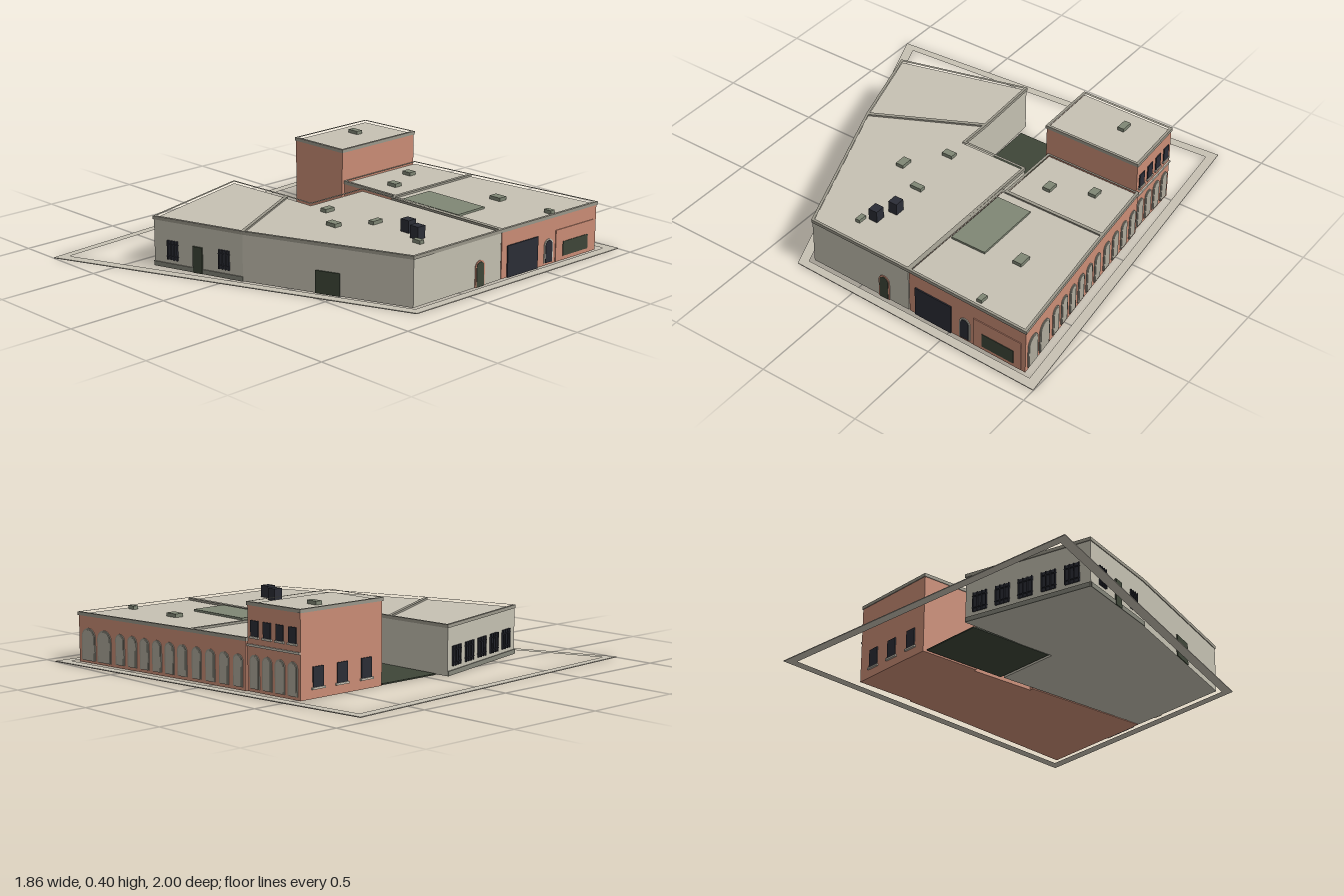
import * as THREE from 'three';

const mat = (name, color, extra = {}) => {
  const m = new THREE.MeshStandardMaterial({ color, ...extra });
  m.name = name;
  return m;
};

export function createModel() {
  const root = new THREE.Group();
  root.name = 'buildingBlock';

  const M = {
    stone: mat('paleWall', 0xc4c0b1),
    brick: mat('redWall', 0xcb8d76),
    roof: mat('roofBeige', 0xc7c1b3),
    cap: mat('parapetGrey', 0x9b988b),
    plinth: mat('plinthGrey', 0x85867a),
    infill: mat('archInfill', 0xaeaa9c),
    green: mat('darkGreen', 0x3e4638),
    glass: mat('skylightGreen', 0x808775),
    navy: mat('darkNavy', 0x2b2d36),
  };

  const add = (parent, name, geo, material) => {
    const mesh = new THREE.Mesh(geo, material);
    mesh.name = name;
    parent.add(mesh);
    return mesh;
  };

  // Plan helpers: points are [x, z]
  const toVec = (pts) => pts.map(([x, z]) => new THREE.Vector2(x, -z));
  const slab = (pts, y0, y1, hole) => {
    const s = new THREE.Shape(toVec(pts));
    if (hole) s.holes.push(new THREE.Path(toVec(hole)));
    const g = new THREE.ExtrudeGeometry(s, { depth: y1 - y0, bevelEnabled: false });
    return g.rotateX(-Math.PI / 2).translate(0, y0, 0);
  };
  // Mitred offset, positive d grows the outline
  const offset = (pts, d) => {
    const n = pts.length;
    const sign = Math.sign(THREE.ShapeUtils.area(pts.map(([x, z]) => new THREE.Vector2(x, z))));
    const normal = (a, b) => {
      const l = Math.hypot(b[0] - a[0], b[1] - a[1]);
      return [(sign * (b[1] - a[1])) / l, (-sign * (b[0] - a[0])) / l];
    };
    return pts.map((p, i) => {
      const u = normal(pts[(i + n - 1) % n], p);
      const v = normal(p, pts[(i + 1) % n]);
      const k = d / (1 + u[0] * v[0] + u[1] * v[1]);
      return [p[0] + (u[0] + v[0]) * k, p[1] + (u[1] + v[1]) * k];
    });
  };

  // Walls, roof deck and raised parapet for each volume
  const building = (name, pts, h, wall) => {
    const g = new THREE.Group();
    g.name = name;
    root.add(g);
    add(g, name + 'Walls', slab(pts, 0, h - 0.016), wall);
    add(g, name + 'Roof', slab(offset(pts, -0.005), h - 0.017, h - 0.011), M.roof);
    add(g, name + 'Parapet', slab(offset(pts, 0.004), h - 0.016, h, offset(pts, -0.009)), M.cap);
  };
  building('tower', [[-0.52, -0.76], [-0.2, -0.78], [-0.2, -0.285], [-0.52, -0.28]], 0.395, M.brick);
  building('middleHall', [[-0.2, -0.79], [0.145, -0.825], [0.145, -0.3], [-0.2, -0.3]], 0.237, M.brick);
  building('cornerHall', [[0.145, -0.825], [0.86, -0.91], [0.835, -0.275], [0.145, -0.28]], 0.237, M.brick);
  building('mainHall', [[-0.045, -0.27], [0.835, -0.27], [0.82, 0.28], [0.05, 0.58], [-0.21, 0.07], [-0.045, 0.07]], 0.237, M.stone);
  building('frontWing', [[-0.57, 0.085], [-0.21, 0.07], [0.05, 0.58], [-0.4, 0.72]], 0.237, M.stone);

  // Courtyard and pavement ring
  add(root, 'courtyard', slab([[-0.51, -0.265], [-0.06, -0.275], [-0.06, 0.065], [-0.51, 0.07]], 0, 0.006), M.green);
  add(root, 'pavementRing', slab(
    [[-0.93, -0.8], [0.93, -1], [0.885, 0.325], [-0.8, 1]], 0, 0.004,
    [[-0.88, -0.76], [0.88, -0.947], [0.845, 0.292], [-0.765, 0.935]]), M.roof);

  // A wall frame: local x runs from p to q, local z points outwards
  const wallFrame = (name, p, q) => {
    const g = new THREE.Group();
    g.name = name;
    g.position.set(p[0], 0, p[1]);
    g.rotation.y = Math.atan2(p[1] - q[1], q[0] - p[0]);
    g.userData.length = Math.hypot(q[0] - p[0], q[1] - p[1]);
    root.add(g);
    return g;
  };
  const panel = (g, name, t, w, y0, y1, depth, m) => {
    const b = add(g, name, new THREE.BoxGeometry(w, y1 - y0, depth), m);
    b.position.set(t, (y0 + y1) / 2, depth / 2);
  };
  const arch = (g, name, t, w, y0, y1, depth, m) => {
    const r = w / 2;
    const s = new THREE.Shape();
    s.moveTo(-r, y0).lineTo(r, y0).lineTo(r, y1 - r);
    s.absarc(0, y1 - r, r, 0, Math.PI, false);
    s.closePath();
    const geo = new THREE.ExtrudeGeometry(s, { depth, bevelEnabled: false, curveSegments: 8 });
    add(g, name, geo, m).position.x = t;
  };
  const framedArch = (g, t, w, y0, y1, frame, fill) => {
    arch(g, 'archFrame', t, w, y0, y1, 0.004, frame);
    arch(g, 'archFill', t, w - 0.014, y0, y1 - 0.007, 0.006, fill);
  };
  // Dark window with a protruding grille
  const grilleWindow = (g, t, w, y0, y1) => {
    panel(g, 'windowPane', t, w, y0, y1, 0.004, M.navy);
    for (let i = 0; i < 4; i++) panel(g, 'grilleBar', t + w * (i / 3 - 0.5), 0.004, y0, y1, 0.009, M.navy);
    for (const y of [y0 + 0.015, y1 - 0.02]) panel(g, 'grilleRail', t, w + 0.008, y, y + 0.004, 0.009, M.navy);
  };

  // Front wing facades
  const wingSide = wallFrame('wingSideFacade', [-0.57, 0.085], [-0.4, 0.72]);
  panel(wingSide, 'plinth', 0.329, 0.657, 0, 0.022, 0.005, M.plinth);
  for (const f of [0.12, 0.305, 0.49, 0.675, 0.86]) grilleWindow(wingSide, f * 0.657, 0.07, 0.04, 0.132);
  const wingFront = wallFrame('wingFrontFacade', [-0.4, 0.72], [0.05, 0.58]);
  panel(wingFront, 'plinth', 0.236, 0.471, 0, 0.022, 0.005, M.plinth);
  grilleWindow(wingFront, 0.1, 0.052, 0.04, 0.132);
  panel(wingFront, 'door', 0.235, 0.05, 0, 0.125, 0.008, M.green);
  grilleWindow(wingFront, 0.375, 0.052, 0.04, 0.132);

  // Main hall facades
  const hallFront = wallFrame('hallFrontFacade', [0.05, 0.58], [0.82, 0.28]);
  panel(hallFront, 'garageDoor', 0.42, 0.118, 0, 0.107, 0.006, M.green);
  const hallSide = wallFrame('hallSideFacade', [0.82, 0.28], [0.835, -0.27]);
  framedArch(hallSide, 0.413, 0.06, 0, 0.124, M.brick, M.green);

  // Corner hall side: big door, arched window, framed shop window
  const shop = wallFrame('shopFacade', [0.835, -0.275], [0.86, -0.91]);
  panel(shop, 'largeDoor', 0.135, 0.2, 0, 0.152, 0.006, M.navy);
  framedArch(shop, 0.31, 0.058, 0.012, 0.125, M.roof, M.navy);
  panel(shop, 'shopSurround', 0.485, 0.255, 0.004, 0.155, 0.004, M.brick);
  panel(shop, 'shopWindow', 0.49, 0.17, 0.022, 0.092, 0.007, M.green);

  // Arcaded back facades
  const backCorner = wallFrame('cornerBackFacade', [0.86, -0.91], [0.145, -0.825]);
  for (let i = 0; i < 2; i++) framedArch(backCorner, 0.065 + i * 0.105, 0.09, 0.012, 0.165, M.cap, M.infill);
  for (let i = 0; i < 6; i++) framedArch(backCorner, 0.275 + i * 0.08, 0.058, 0.015, 0.16, M.cap, M.infill);
  const backMiddle = wallFrame('middleBackFacade', [0.145, -0.825], [-0.2, -0.79]);
  for (let i = 0; i < 4; i++) framedArch(backMiddle, 0.045 + i * 0.085, 0.058, 0.015, 0.16, M.cap, M.infill);
  const backTower = wallFrame('towerBackFacade', [-0.2, -0.78], [-0.52, -0.76]);
  panel(backTower, 'stringCourse', 0.16, 0.32, 0.2, 0.21, 0.007, M.roof);
  for (let i = 0; i < 4; i++) {
    const t = 0.045 + i * 0.077;
    framedArch(backTower, t, 0.058, 0.015, 0.165, M.cap, M.infill);
    panel(backTower, 'upperWindow', t, 0.045, 0.245, 0.315, 0.005, M.navy);
    panel(backTower, 'upperSill', t, 0.055, 0.236, 0.245, 0.009, M.roof);
  }

  // Tower side windows
  const sideTower = wallFrame('towerSideFacade', [-0.52, -0.76], [-0.52, -0.28]);
  for (const t of [0.1, 0.24, 0.385]) {
    panel(sideTower, 'sideWindow', t, 0.06, 0.05, 0.14, 0.005, M.navy);
    panel(sideTower, 'sideSill', t, 0.075, 0.041, 0.05, 0.009, M.roof);
  }

  // Roof fittings: x, z, width, depth
  const block = (name, x, z, w, d, y0, y1, m) => {
    add(root, name, new THREE.BoxGeometry(w, y1 - y0, d), m).position.set(x, (y0 + y1) / 2, z);
  };
  const vents = [
    [-0.085, -0.63, 0.05, 0.04], [0, -0.44, 0.055, 0.04], [0.495, -0.63, 0.065, 0.045],
    [0.8, -0.64, 0.042, 0.025], [0.355, 0.045, 0.03, 0.06], [0.073, 0.075, 0.036, 0.056],
    [0.25, 0.207, 0.06, 0.04], [0.685, 0.112, 0.045, 0.024],
  ];
  for (const [x, z, w, d] of vents) block('roofVent', x, z, w, d, 0.22, 0.243, M.glass);
  block('towerVent', -0.405, -0.575, 0.06, 0.033, 0.38, 0.401, M.glass);
  block('largeSkylight', 0.375, -0.383, 0.35, 0.18, 0.22, 0.236, M.glass);
  block('coolingUnit', 0.54, 0.025, 0.05, 0.046, 0.22, 0.285, M.navy);
  block('coolingUnit', 0.634, 0.063, 0.05, 0.046, 0.22, 0.285, M.navy);

  return root;
}
